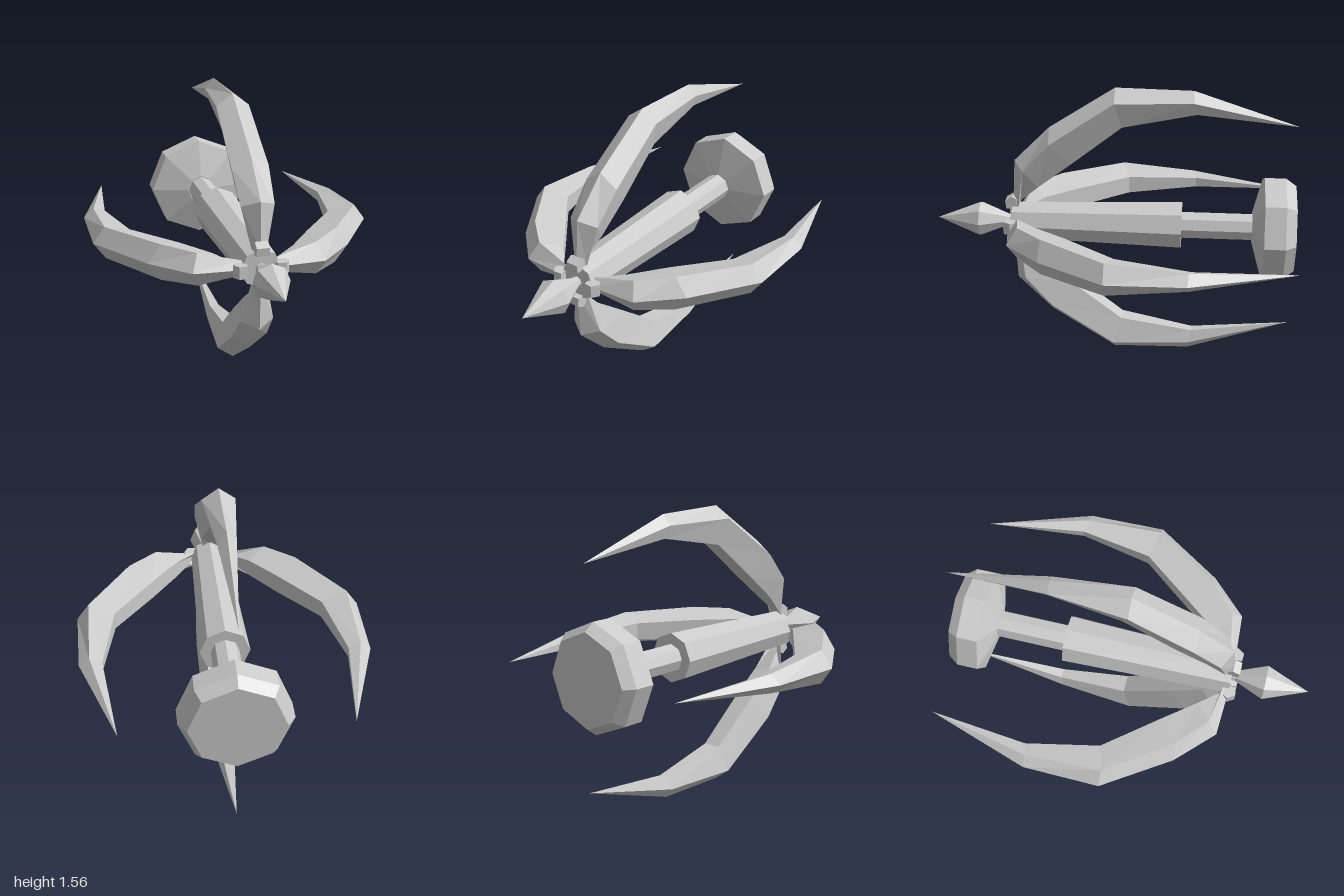
import * as THREE from 'three';

const AXIS_Y = 0.783;
const mat = new THREE.MeshStandardMaterial({ color: 0xcccccc, flatShading: true });

function add(parent, geometry, name) {
  const mesh = new THREE.Mesh(geometry, mat);
  mesh.name = name;
  parent.add(mesh);
  return mesh;
}

// Eight-sided turned part along z; profile is [radius, z] from back to front
function turned(profile) {
  const pts = profile.map(([r, z]) => new THREE.Vector2(r, z));
  return new THREE.LatheGeometry(pts, 8).rotateX(Math.PI / 2);
}

// Curved blade: outer ridge, two side edges, narrower flat inner face
function bladeGeometry() {
  // [outer z, outer r, side z, side r, half width, inner z, inner r]
  const stations = [
    [0.57, 0.09, 0.535, 0.095, 0.042, 0.525, 0.125],
    [0.555, 0.355, 0.5, 0.32, 0.09, 0.42, 0.218],
    [0.36, 0.55, 0.353, 0.48, 0.1, 0.24, 0.357],
    [0, 0.782, 0, 0.717, 0.09, -0.04, 0.575],
    [-0.42, 0.774, -0.425, 0.717, 0.05, -0.44, 0.65],
    [-0.988, 0.587, -0.988, 0.587, 0, -0.988, 0.587],
  ];
  const pos = [];
  const idx = [0, 2, 1, 0, 3, 2, 0, 4, 3];
  stations.forEach(([oz, or, sz, sr, w, iz, ir], s) => {
    const v = w * 0.55;
    pos.push(0, or, oz, w, sr, sz, v, ir, iz, -v, ir, iz, -w, sr, sz);
    if (s === 0) return;
    for (let k = 0; k < 5; k++) {
      const a = (s - 1) * 5 + k;
      const b = (s - 1) * 5 + (k + 1) % 5;
      idx.push(a, b, a + 5, b, b + 5, a + 5);
    }
  });
  const g = new THREE.BufferGeometry();
  g.setAttribute('position', new THREE.Float32BufferAttribute(pos, 3));
  g.setIndex(idx);
  const flat = g.toNonIndexed();
  flat.computeVertexNormals();
  return flat;
}

// Small bracket holding a blade root, extruded across x
function bracketGeometry() {
  const outline = [[0.605, 0.08], [0.61, 0.125], [0.57, 0.15], [0.545, 0.135], [0.545, 0.075]];
  const shape = new THREE.Shape(outline.map(([z, r]) => new THREE.Vector2(z, r)));
  const g = new THREE.ExtrudeGeometry(shape, { depth: 0.07, bevelEnabled: false });
  return g.translate(0, 0, -0.035).rotateY(-Math.PI / 2);
}

export function createModel() {
  const group = new THREE.Group();
  group.name = 'bladedMace';
  const body = new THREE.Group();
  body.name = 'body';
  body.position.y = AXIS_Y;
  group.add(body);

  // Grip, shaft, pommel and spike share the central axis
  add(body, turned([[0, -0.37], [0.136, -0.37], [0.107, 0.57], [0, 0.57]]), 'grip');
  add(body, turned([[0.077, -0.78], [0.077, -0.36]]), 'shaft');
  add(body, turned([
    [0, -0.988], [0.25, -0.988], [0.293, -0.93], [0.293, -0.815], [0.085, -0.758], [0, -0.758],
  ]), 'pommel');
  add(body, turned([[0.03, 0.56], [0.03, 0.59], [0.1, 0.755], [0, 0.998]]), 'spike');

  // Four blades and their brackets around the axis
  const blade = bladeGeometry();
  const bracket = bracketGeometry();
  for (let i = 0; i < 4; i++) {
    const arm = new THREE.Group();
    arm.name = 'arm' + (i + 1);
    arm.rotation.z = i * Math.PI / 2;
    add(arm, blade, 'blade');
    add(arm, bracket, 'bracket');
    body.add(arm);
  }
  return group;
}
